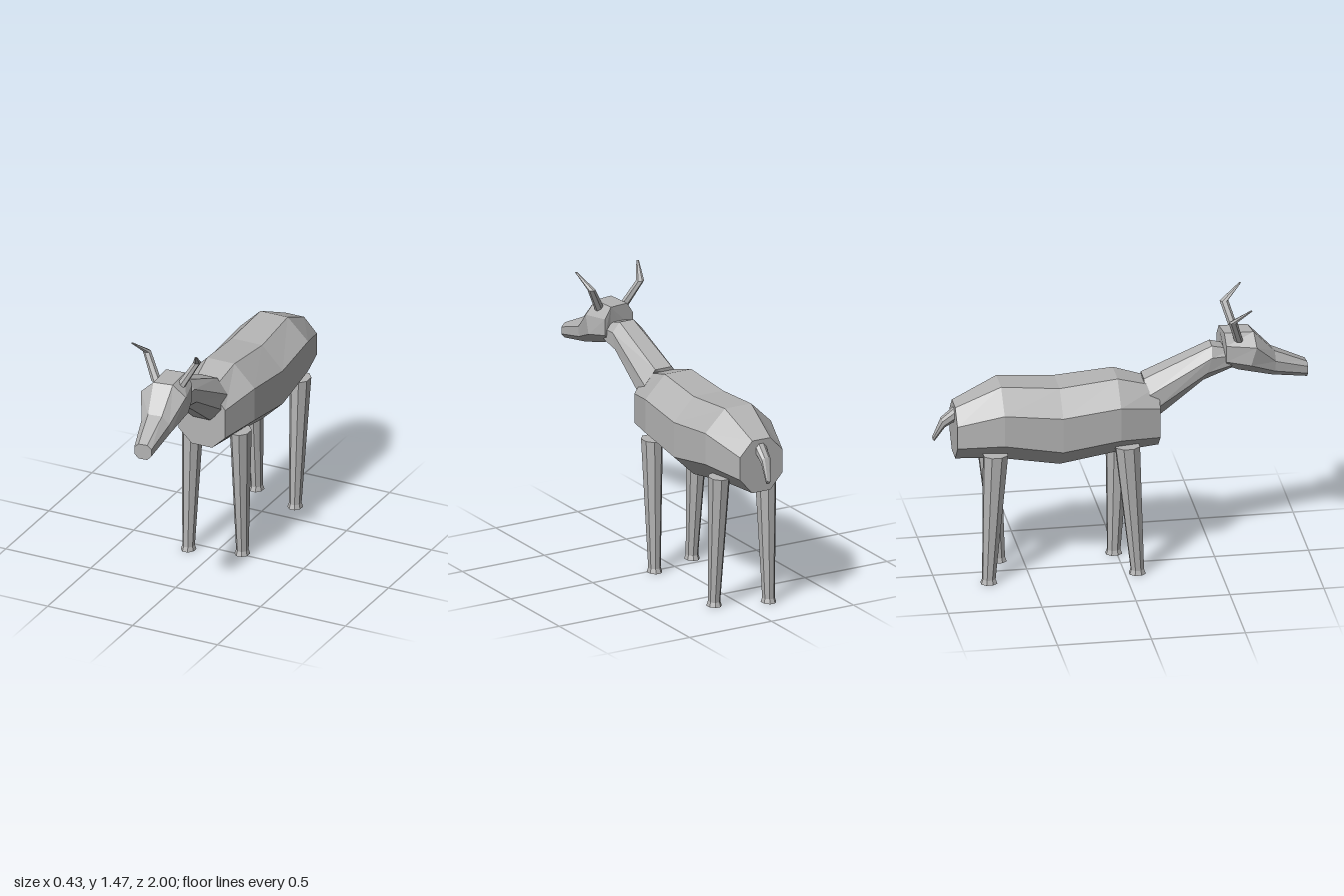
import * as THREE from 'three';

// Closed skin over a series of rings with equal point counts
function loft(rings) {
  const n = rings[0].length, pos = [];
  const tri = (...pts) => pts.forEach((p) => pos.push(...p));
  for (let r = 0; r < rings.length - 1; r++) {
    const a = rings[r], b = rings[r + 1];
    for (let i = 0; i < n; i++) {
      const j = (i + 1) % n;
      tri(a[i], a[j], b[i]);
      tri(a[j], b[j], b[i]);
    }
  }
  const first = rings[0], last = rings[rings.length - 1];
  for (let k = 1; k < n - 1; k++) {
    tri(first[0], first[k + 1], first[k]);
    tri(last[0], last[k], last[k + 1]);
  }
  const geo = new THREE.BufferGeometry();
  geo.setAttribute('position', new THREE.Float32BufferAttribute(pos, 3));
  geo.computeVertexNormals();
  return geo;
}

// Upright octagon: ys and zs run top, upper side, lower side, bottom
function octagon(cx, wIn, wOut, ys, zs, yaw = 0) {
  const z = Array.isArray(zs) ? zs : [zs, zs, zs, zs];
  const w = [wIn, wOut, wOut, wIn];
  const point = (side, i) => [cx + side * w[i], ys[i], z[i] - yaw * side * w[i]];
  return [...[0, 1, 2, 3].map((i) => point(1, i)), ...[3, 2, 1, 0].map((i) => point(-1, i))];
}

// Level ellipse with n corners
function ellipse(x, y, z, rx, rz, n) {
  return Array.from({ length: n }, (_, i) => {
    const t = ((i + 0.5) / n) * Math.PI * 2;
    const k = 1 / Math.cos(Math.PI / n);
    return [x + rx * k * Math.cos(t), y, z + rz * k * Math.sin(t)];
  });
}

export function createModel() {
  const model = new THREE.Group();
  const hide = new THREE.MeshStandardMaterial({ color: 0xb4b4b4, flatShading: true });
  hide.name = 'grey hide';
  const add = (name, rings) => {
    const mesh = new THREE.Mesh(loft(rings), hide);
    mesh.name = name;
    model.add(mesh);
  };

  // Barrel body, chest to rump
  add('body', [
    octagon(-0.003, 0.06, 0.137, [1.03, 0.93, 0.768, 0.695], 0.19),
    octagon(-0.003, 0.08, 0.2, [1.095, 0.975, 0.79, 0.68], -0.03),
    octagon(-0.005, 0.09, 0.21, [1.067, 0.943, 0.75, 0.635], -0.34),
    octagon(-0.003, 0.08, 0.2, [1.092, 0.975, 0.802, 0.685], -0.65),
    octagon(-0.003, 0.055, 0.13, [0.98, 0.9, 0.775, 0.69], -0.89),
  ]);

  // Neck, from inside the head down to the chest
  add('neck', [
    octagon(0.025, 0.035, 0.075, [1.19, 1.17, 1.12, 1.085], [0.6, 0.6, 0.6, 0.59]),
    octagon(0.01, 0.042, 0.088, [1.225, 1.175, 1.09, 1.035], [0.48, 0.475, 0.45, 0.435]),
    octagon(0, 0.05, 0.112, [1.07, 0.99, 0.92, 0.86], [0.115, 0.12, 0.17, 0.2]),
  ]);

  // Head, muzzle to back of skull, turned slightly to its left
  add('head', [
    octagon(0.058, 0.025, 0.048, [1.073, 1.052, 1.013, 0.988], 0.995, 0.1),
    octagon(0.038, 0.038, 0.077, [1.16, 1.115, 1.06, 1.025], [0.815, 0.81, 0.805, 0.8], 0.14),
    octagon(0.025, 0.053, 0.122, [1.29, 1.225, 1.125, 1.08], [0.695, 0.69, 0.66, 0.61], 0.16),
    octagon(0.02, 0.053, 0.092, [1.295, 1.235, 1.145, 1.11], [0.54, 0.54, 0.54, 0.55], 0.12),
  ]);

  // Bent horns
  for (const [name, side] of [['leftHorn', 1], ['rightHorn', -1]]) {
    const x = (d) => 0.018 + side * d;
    add(name, [
      ellipse(x(0.187), 1.472, 0.668, 0.006, 0.006, 6),
      ellipse(x(0.148), 1.395, 0.577, 0.018, 0.02, 6),
      ellipse(x(0.07), 1.255, 0.62, 0.024, 0.02, 6),
    ]);
  }

  // Walking legs: x, hip z, foot z
  const legs = [
    ['frontLeftLeg', 1, 0.008, -0.015],
    ['frontRightLeg', -1, 0.012, 0.065],
    ['backLeftLeg', 1, -0.685, -0.63],
    ['backRightLeg', -1, -0.69, -0.725],
  ];
  for (const [name, side, hip, foot] of legs) {
    const x = (d) => -0.006 + side * d;
    add(name, [
      ellipse(x(0.14), 0.735, hip, 0.051, 0.064, 8),
      ellipse(x(0.138), 0.025, foot, 0.03, 0.034, 8),
      ellipse(x(0.138), 0, foot, 0.037, 0.043, 8),
    ]);
  }

  // Drooping tail
  add('tail', [
    octagon(-0.003, 0.014, 0.032, [0.97, 0.95, 0.915, 0.89], -0.875),
    octagon(0.003, 0.012, 0.026, [0.9, 0.888, 0.865, 0.85], [-0.955, -0.952, -0.943, -0.937]),
    octagon(0.018, 0.006, 0.012, [0.785, 0.78, 0.772, 0.765], [-1.0, -1.0, -0.995, -0.99]),
  ]);

  return model;
}
